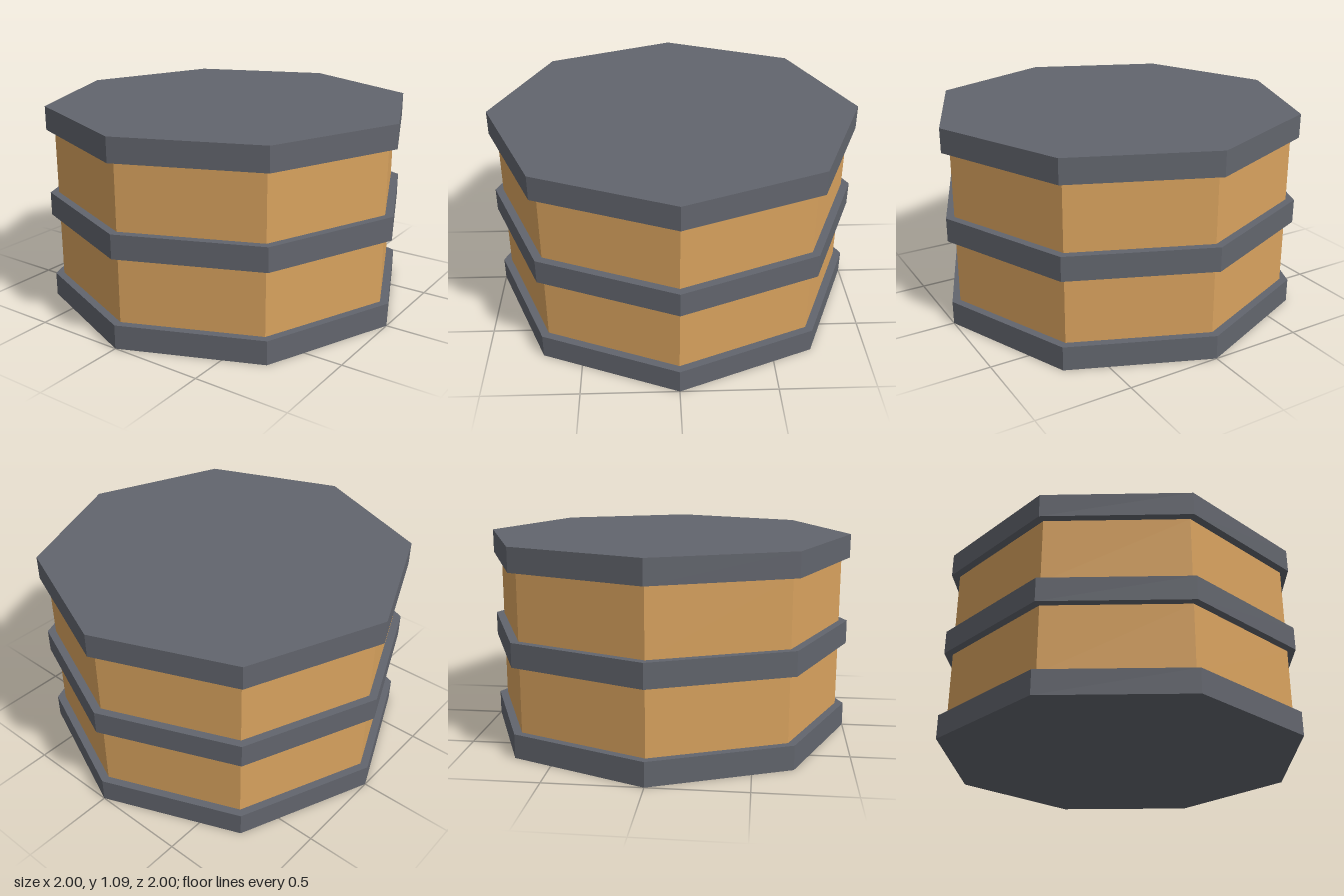
import * as THREE from 'three';

export function createModel() {
  const model = new THREE.Group();
  model.name = 'bandedBarrel';

  const wood = new THREE.MeshStandardMaterial({ color: 0xd8a25e });
  wood.name = 'wood';
  const iron = new THREE.MeshStandardMaterial({ color: 0x62656d });
  iron.name = 'iron';
  wood.flatShading = iron.flatShading = true;

  const bandHeight = 0.128;
  const spacing = 0.48;

  // Eight-sided drum with corners on the x and z axes
  function drum(name, radius, bottom, height, material, open) {
    const geometry = new THREE.CylinderGeometry(radius, radius, height, 8, 1, open);
    const mesh = new THREE.Mesh(geometry, material);
    mesh.name = name;
    mesh.position.y = bottom + height / 2;
    model.add(mesh);
  }

  // Three wide metal plates: base, middle band and lid
  ['base', 'middleBand', 'lid'].forEach((name, i) => {
    drum(name, 1, i * spacing, bandHeight, iron, false);
  });

  // Wooden walls between the plates
  ['lowerWall', 'upperWall'].forEach((name, i) => {
    drum(name, 0.955, i * spacing + bandHeight, spacing - bandHeight, wood, true);
  });

  return model;
}
